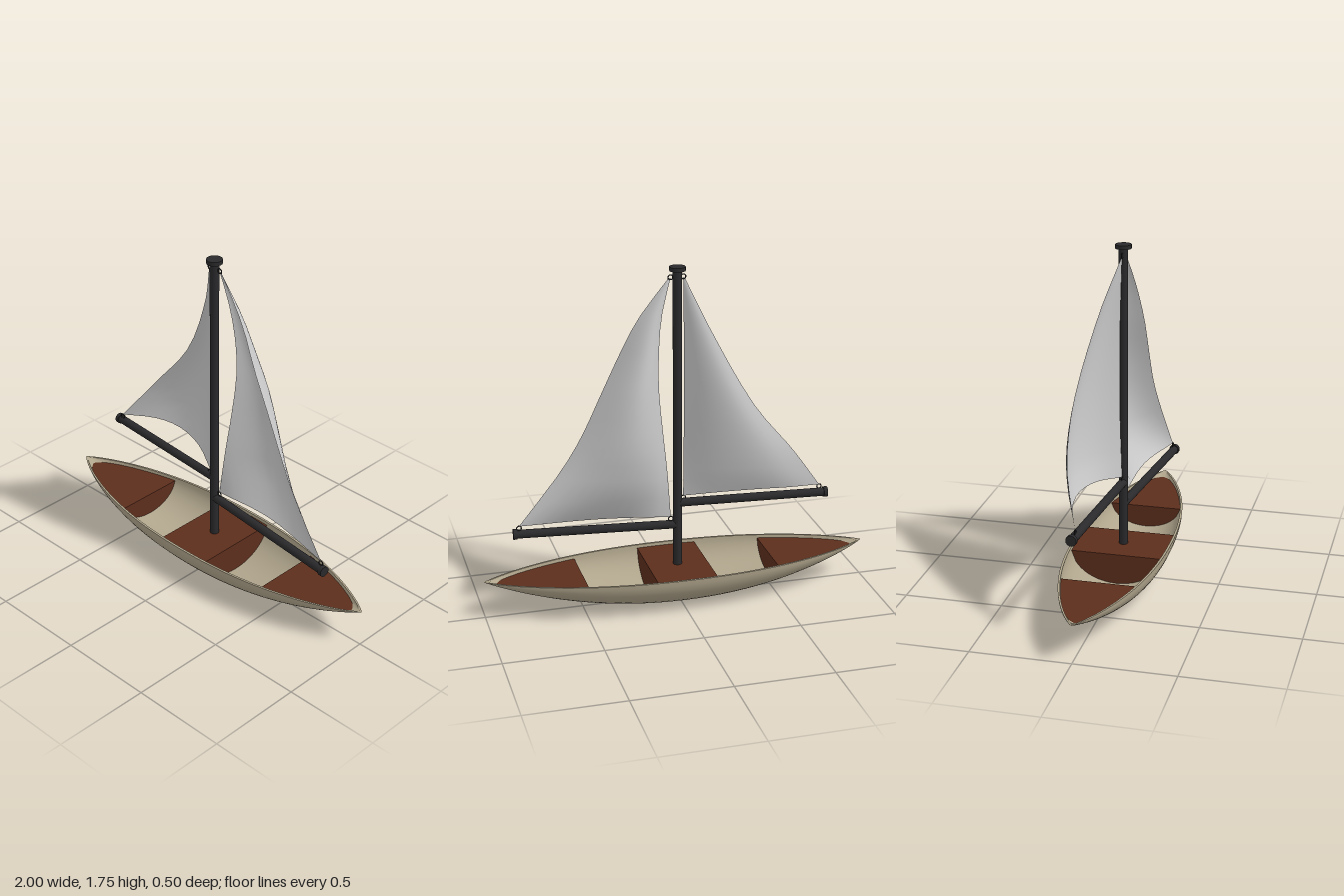
import * as THREE from 'three';
import { toCreasedNormals } from 'three/addons/utils/BufferGeometryUtils.js';

const RIM_Y = 0.195, DECK_Y = 0.178;
const V = (x, y, z) => new THREE.Vector3(x, y, z);
const mat = (color, side = THREE.FrontSide) => new THREE.MeshStandardMaterial({ color, side });

// Surface swept over i (0..1) and j (0..1); it faces along j-direction x i-direction
function grid(f, ni, nj) {
  const pos = [], idx = [];
  for (let i = 0; i <= ni; i++)
    for (let j = 0; j <= nj; j++) pos.push(...f(i / ni, j / nj).toArray());
  for (let i = 0; i < ni; i++)
    for (let j = 0; j < nj; j++) {
      const a = i * (nj + 1) + j, b = a + nj + 1;
      idx.push(a, a + 1, b, a + 1, b + 1, b);
    }
  const g = new THREE.BufferGeometry();
  g.setAttribute('position', new THREE.Float32BufferAttribute(pos, 3));
  g.setIndex(idx);
  g.computeVertexNormals();
  return g;
}

function add(parent, name, geometry, material) {
  const m = new THREE.Mesh(geometry, material);
  m.name = name;
  parent.add(m);
  return m;
}

// Half width and depth of the outer and inner shells at lengthwise position s (-1..1)
const shell = (L, W, D) => (s) => ({
  x: L * s,
  w: W * Math.pow(Math.max(0, 1 - Math.pow(Math.abs(s), 2.2)), 0.85),
  d: D * Math.max(0, 1 - s * s),
});
const INNER_L = 0.985;
const outer = shell(1, 0.25, RIM_Y), inner = shell(INNER_L, 0.238, 0.18);

// Hull: outer skin, rim and inner skin in one closed cross-section
function hullGeometry() {
  const n = 24;
  const g = grid((i, j) => {
    const s = i === 0 ? -1 : i === 1 ? 1 : -Math.cos(Math.PI * i);
    let k = Math.round(j * (2 * n + 2));
    const isOuter = k <= n || k === 2 * n + 2;
    if (k === 2 * n + 2) k = 0;
    const t = Math.PI * (isOuter ? k : 2 * n + 1 - k) / n;
    const { x, w, d } = isOuter ? outer(s) : inner(s);
    return V(x, RIM_Y - d * Math.sin(t), w * Math.cos(t));
  }, 48, 2 * n + 2);
  return toCreasedNormals(g, 0.8);
}

// Deck half width where the deck plane meets the inner skin
function deckHalfWidth(x) {
  const { w, d } = inner(x / INNER_L);
  return d > 0 ? w * Math.sqrt(Math.max(0, 1 - ((RIM_Y - DECK_Y) / d) ** 2)) : 0;
}

function deck(parent, name, x0, x1, material) {
  const group = new THREE.Group();
  group.name = name;
  parent.add(group);
  add(group, name + 'Top', grid((i, j) => {
    const x = x0 + (x1 - x0) * i;
    return V(x, DECK_Y, deckHalfWidth(x) * (2 * j - 1));
  }, 16, 1), material);
  // Bulkheads fill the hull section under the deck's open edges
  for (const x of [x0, x1]) {
    if (Math.abs(x) > 0.9) continue;
    const { w, d } = inner(x / INNER_L), hw = deckHalfWidth(x);
    add(group, name + 'Bulkhead', grid((i, j) => {
      const z = hw * (2 * i - 1);
      const bottom = RIM_Y - d * Math.sqrt(1 - (z / w) ** 2);
      return V(x, DECK_Y + (bottom - DECK_Y) * j, z);
    }, 20, 1), material);
  }
}

// Round spar between two points with a slightly wider end cap
function spar(parent, name, from, to, radius, capRadius, capLength, material) {
  const group = new THREE.Group();
  group.name = name;
  const len = from.distanceTo(to);
  add(group, name + 'Pole', new THREE.CylinderGeometry(radius, radius, len, 20), material)
    .position.y = len / 2;
  add(group, name + 'Cap', new THREE.CylinderGeometry(capRadius, capRadius, capLength, 20), material)
    .position.y = len - capLength / 2;
  group.position.copy(from);
  group.quaternion.setFromUnitVectors(V(0, 1, 0), to.clone().sub(from).normalize());
  parent.add(group);
}

// Sail: luff and leech run from foot to head, foot runs from luff to leech
function sail(parent, name, { luff, leech, foot, belly }, cloth, metal) {
  const [a, b, c] = [luff, leech, foot].map((p) =>
    new THREE.CatmullRomCurve3(p.map((q) => V(...q))));
  const group = new THREE.Group();
  group.name = name;
  parent.add(group);
  const tack = a.getPoint(0), clew = b.getPoint(0), head = a.getPoint(1);
  add(group, name + 'Cloth', grid((v, u) => {
    const p = a.getPoint(v).lerp(b.getPoint(v), u);
    const sag = c.getPoint(u).sub(tack.clone().lerp(clew, u));
    p.addScaledVector(sag, (1 - v) ** 2);
    p.z += belly * 4 * u * (1 - u) * Math.sin(Math.PI * Math.pow(v, 0.6));
    return p;
  }, 14, 12), cloth);
  // Small rings tie the three corners to the spars
  for (const [corner, dy] of [[tack, -0.01], [clew, -0.01], [head, 0.004]]) {
    const ring = add(group, name + 'Ring', new THREE.TorusGeometry(0.012, 0.003, 6, 14), metal);
    ring.position.copy(corner);
    ring.position.y += dy;
  }
}

export function createModel() {
  const model = new THREE.Group();
  model.name = 'sailboat';
  const hullMat = mat(0xb0a58c), wood = mat(0x5c2e1c, THREE.DoubleSide);
  const dark = mat(0x2a2a2c), cloth = mat(0xcccccc, THREE.DoubleSide);

  add(model, 'hull', hullGeometry(), hullMat);
  deck(model, 'rightDeck', -0.94, -0.49, wood);
  deck(model, 'middleDeck', -0.155, 0.155, wood);
  deck(model, 'leftDeck', 0.5, 0.94, wood);

  // Mast and the two booms
  spar(model, 'mast', V(0, 0.17, 0), V(0, 1.745, 0), 0.023, 0.04, 0.02, dark);
  spar(model, 'leftBoom', V(0, 0.397, 0), V(0.83, 0.397, 0.09), 0.022, 0.027, 0.02, dark);
  spar(model, 'rightBoom', V(0, 0.515, 0), V(-0.78, 0.515, -0.06), 0.022, 0.027, 0.02, dark);

  sail(model, 'leftSail', {
    luff: [[0.035, 0.44, 0], [0.058, 0.7, -0.02], [0.082, 0.9, -0.035], [0.105, 1.13, -0.045],
      [0.105, 1.3, -0.04], [0.085, 1.5, -0.02], [0.035, 1.69, 0]],
    leech: [[0.8, 0.44, 0.083], [0.58, 0.73, 0.06], [0.48, 0.9, 0.045], [0.39, 1.09, 0.04],
      [0.3, 1.28, 0.037], [0.2, 1.48, 0.02], [0.045, 1.69, 0]],
    foot: [[0.035, 0.44, 0], [0.4, 0.463, 0.015], [0.8, 0.44, 0.083]],
    belly: -0.115,
  }, cloth, dark);

  sail(model, 'rightSail', {
    luff: [[-0.03, 0.55, 0], [-0.03, 0.9, -0.01], [-0.03, 1.3, -0.01], [-0.03, 1.69, 0]],
    leech: [[-0.74, 0.555, -0.05], [-0.56, 0.8, -0.135], [-0.35, 1.06, -0.155],
      [-0.15, 1.43, -0.085], [-0.035, 1.69, 0]],
    foot: [[-0.03, 0.55, 0], [-0.2, 0.585, -0.085], [-0.38, 0.597, -0.125],
      [-0.55, 0.585, -0.115], [-0.74, 0.555, -0.05]],
    belly: -0.04,
  }, cloth, dark);

  return model;
}
